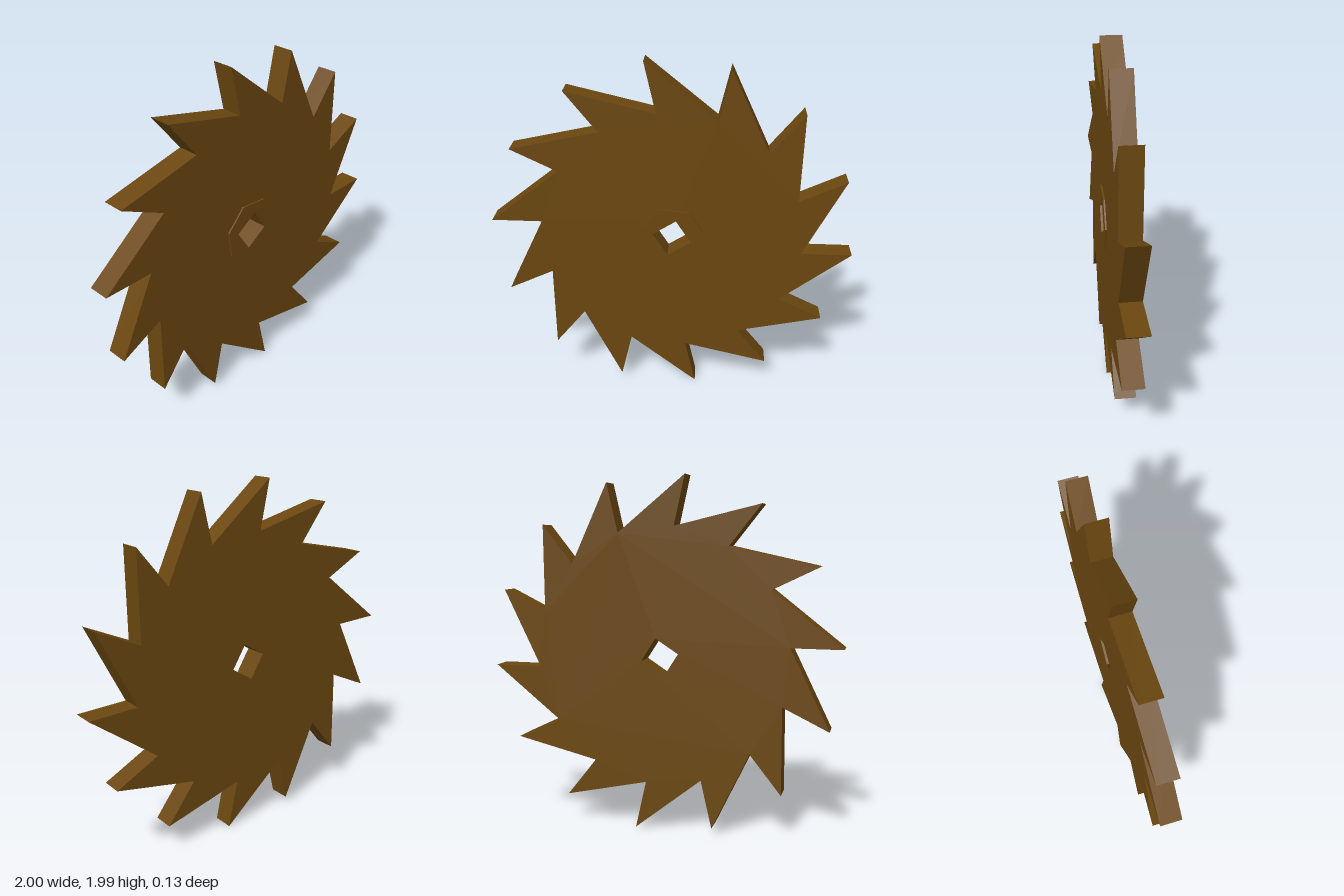
import * as THREE from 'three';

const TEETH = 14;
const CENTER_Y = 0.9935;

// Point at a radius and an angle in degrees
function polar(radius, degrees) {
  const a = THREE.MathUtils.degToRad(degrees);
  return new THREE.Vector2(radius * Math.cos(a), radius * Math.sin(a));
}

// Corners of a regular polygon, counter-clockwise
function polygon(sides, radius, start) {
  return Array.from({ length: sides }, (_, i) => polar(radius, start + (i * 360) / sides));
}

// Flat plate with the square shaft hole, between two z depths
function plate(name, outline, zBack, zFront, material) {
  const shape = new THREE.Shape(outline);
  shape.holes.push(new THREE.Path(polygon(4, 0.109, 77.5).reverse()));
  const geometry = new THREE.ExtrudeGeometry(shape, { depth: zFront - zBack, bevelEnabled: false });
  geometry.translate(0, CENTER_Y, zBack);
  const mesh = new THREE.Mesh(geometry, material);
  mesh.name = name;
  return mesh;
}

export function createModel() {
  const group = new THREE.Group();
  group.name = 'ratchetWheel';
  const wood = new THREE.MeshStandardMaterial({ color: 0x6b4710, flatShading: true });

  // Swept, slightly undercut teeth: each tip leans past its own notch
  const outline = [];
  for (let i = 0; i < TEETH; i++) {
    const turn = (i * 360) / TEETH;
    outline.push(polar(1.0035, 98.1 + turn), polar(0.725, 96.4 + turn));
  }
  group.add(plate('toothedWheel', outline, -0.063, 0.056, wood));

  // Thin seven-sided hub plate on the front
  group.add(plate('hubPlate', polygon(7, 0.187, 7.3), 0.056, 0.065, wood));

  return group;
}
